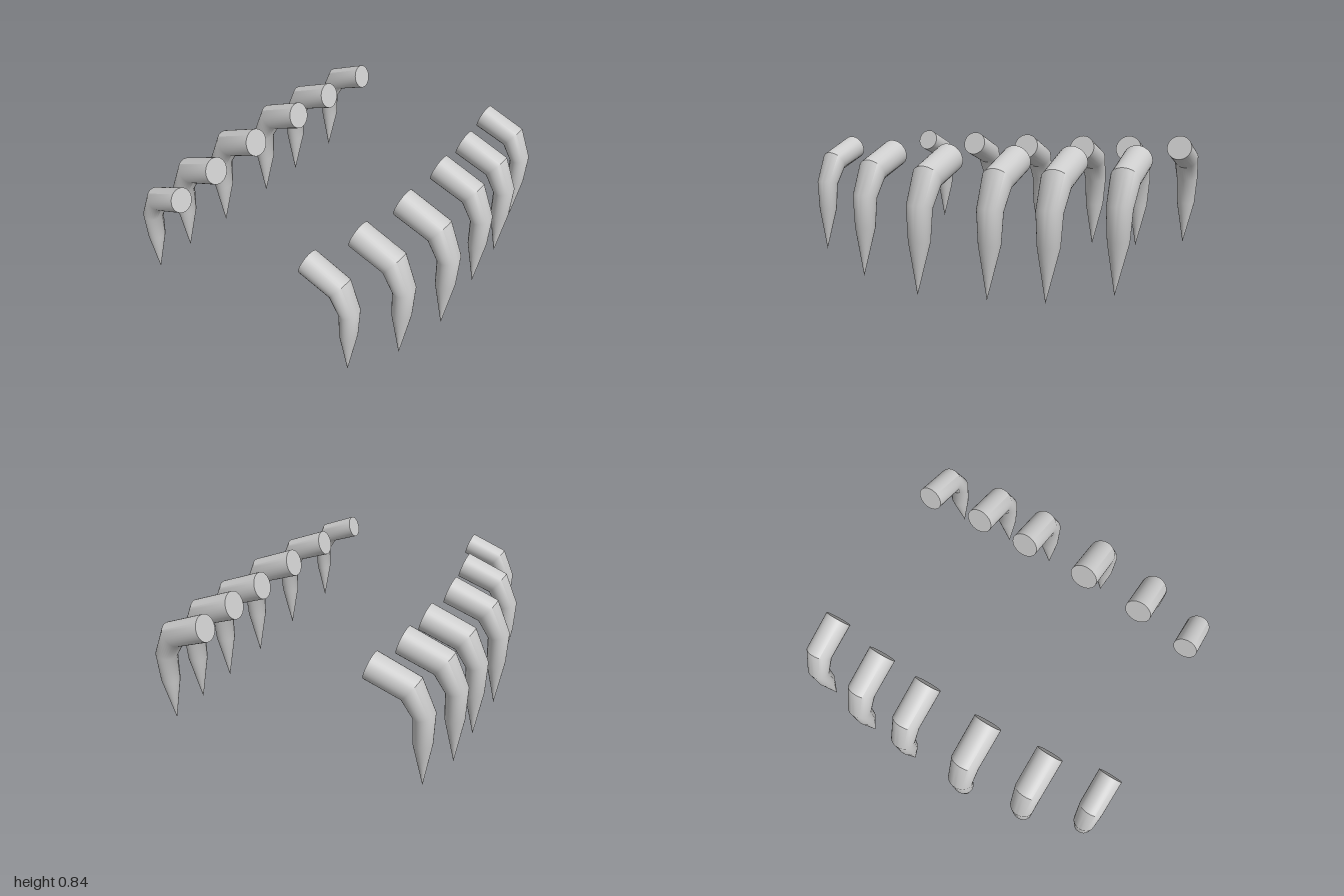
import * as THREE from 'three';
import { toCreasedNormals } from 'three/addons/utils/BufferGeometryUtils.js';

const SIDES = 32;

// Cross-sections of one full-size leg, measured from the centre of its root:
// centre x, y, z, in-plane radius, z radius, tilt of the ring in degrees
const RINGS = [
  [0, 0, 0, 0.087, 0.088, 72],
  [0.246, -0.092, 0, 0.086, 0.087, 53],
  [0.323, -0.246, 0.006, 0.066, 0.076, 14],
  [0.32, -0.434, 0.011, 0.058, 0.064, 2],
];
const TIP = [0.324, -0.74, 0.027];

// Each pair: root x, y, z and size
const PAIRS = [
  [0.487, 0.78, -0.922, 0.9],
  [0.526, 0.764, -0.575, 0.966],
  [0.535, 0.757, -0.245, 0.98],
  [0.543, 0.755, 0.177, 1],
  [0.511, 0.769, 0.572, 0.938],
  [0.443, 0.79, 0.921, 0.815],
];

// Closed, tapering leg; side is 1 for left (+x), -1 for right
function legGeometry(side) {
  const rings = RINGS.map(([x, y, z, r, rz, tilt]) => {
    const a = THREE.MathUtils.degToRad(tilt);
    return Array.from({ length: SIDES }, (_, j) => {
      const t = (j / SIDES) * Math.PI * 2;
      const u = r * Math.cos(t);
      return [x + u * Math.cos(a), y + u * Math.sin(a), z + rz * Math.sin(t)];
    });
  });
  const pos = [];
  const tri = (a, b, c) => {
    for (const p of side > 0 ? [a, b, c] : [a, c, b]) pos.push(p[0] * side, p[1], p[2]);
  };
  const last = rings.length - 1;
  for (let j = 0; j < SIDES; j++) {
    const k = (j + 1) % SIDES;
    // flat root cap
    tri([0, 0, 0], rings[0][k], rings[0][j]);
    // bent tube
    for (let i = 0; i < last; i++) {
      tri(rings[i][j], rings[i][k], rings[i + 1][k]);
      tri(rings[i][j], rings[i + 1][k], rings[i + 1][j]);
    }
    // pointed claw
    tri(rings[last][j], rings[last][k], TIP);
  }
  const geometry = new THREE.BufferGeometry();
  geometry.setAttribute('position', new THREE.Float32BufferAttribute(pos, 3));
  return toCreasedNormals(geometry, THREE.MathUtils.degToRad(36));
}

export function createModel() {
  const model = new THREE.Group();
  model.name = 'legs';
  const material = new THREE.MeshStandardMaterial({ color: 0xcccccc });
  for (const side of [1, -1]) {
    const geometry = legGeometry(side);
    PAIRS.forEach(([x, y, z, size], i) => {
      const leg = new THREE.Mesh(geometry, material);
      leg.name = `${side > 0 ? 'left' : 'right'}Leg${PAIRS.length - i}`;
      leg.position.set(x * side, y, z);
      leg.scale.setScalar(size);
      model.add(leg);
    });
  }
  return model;
}
